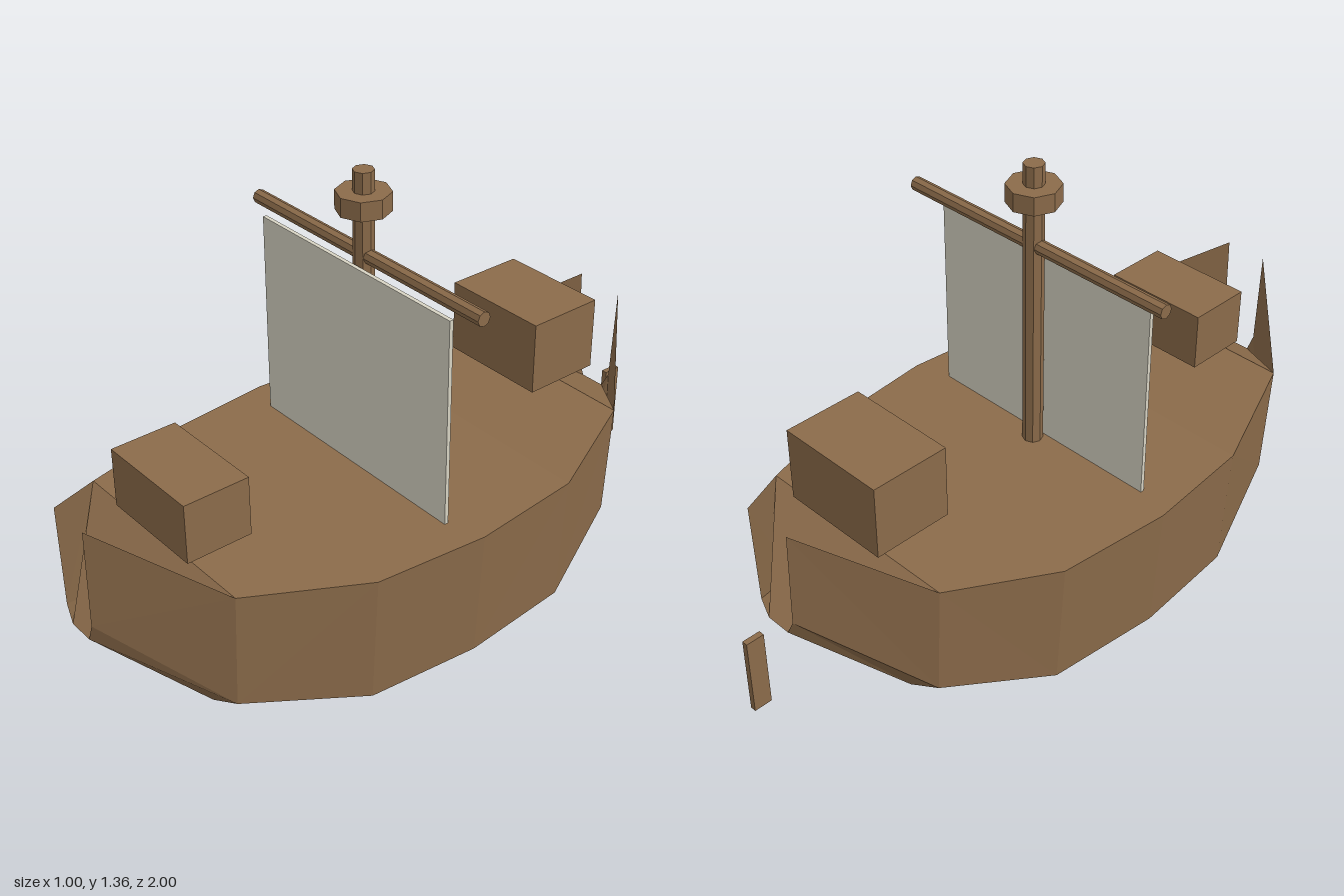
import * as THREE from 'three';

const wood = new THREE.MeshStandardMaterial({ color: 0x8b6b4a, flatShading: true });
const hullWood = new THREE.MeshStandardMaterial({ color: 0x8b6b4a, flatShading: true, side: THREE.DoubleSide });
const cloth = new THREE.MeshStandardMaterial({ color: 0xd8d4c4, flatShading: true });

// Hull stations, bow to stern: z, then half width and height of rail, chine and bottom
const stations = [
  [1.0, 0.067, 0.69, 0.06, 0.39, 0.04, 0.335],
  [0.74, 0.333, 0.515, 0.315, 0.155, 0.2, 0.09],
  [0.39, 0.467, 0.47, 0.443, 0.07, 0.28, 0],
  [0.05, 0.5, 0.47, 0.475, 0.07, 0.3, 0],
  [-0.3, 0.467, 0.47, 0.443, 0.07, 0.28, 0],
  [-0.62, 0.333, 0.515, 0.315, 0.16, 0.2, 0.09],
  [-0.89, 0.077, 0.71, 0.065, 0.41, 0.04, 0.36],
];

function hullGeometry() {
  const pos = [];
  const tri = (...pts) => pts.forEach((p) => pos.push(...p));
  // Ring runs from the left rail under the keel to the right rail
  const rings = stations.map(([z, tw, ty, cw, cy, bw, by]) => [
    [tw, ty, z], [cw, cy, z], [bw, by, z], [-bw, by, z], [-cw, cy, z], [-tw, ty, z],
  ]);
  const last = rings.length - 1;
  for (let i = 0; i < last; i++) {
    const a = rings[i], b = rings[i + 1];
    // Planking, with mirrored diagonals on the two sides
    for (let k = 0; k < 5; k++) {
      if (k < 3) {
        tri(a[k], a[k + 1], b[k]);
        tri(a[k + 1], b[k + 1], b[k]);
      } else {
        tri(a[k], a[k + 1], b[k + 1]);
        tri(a[k], b[k + 1], b[k]);
      }
    }
    // Deck, ramping down to the keel at the open bow and stern
    const [aL, aR] = i === 0 ? [a[2], a[3]] : [a[0], a[5]];
    const [bL, bR] = i === last - 1 ? [b[2], b[3]] : [b[0], b[5]];
    tri(aL, bL, aR);
    tri(bL, bR, aR);
  }
  const g = new THREE.BufferGeometry();
  g.setAttribute('position', new THREE.Float32BufferAttribute(pos, 3));
  g.computeVertexNormals();
  return g;
}

export function createModel() {
  const ship = new THREE.Group();
  ship.name = 'sailingShip';

  const add = (name, geometry, material, x, y, z) => {
    const m = new THREE.Mesh(geometry, material);
    m.name = name;
    m.position.set(x, y, z);
    ship.add(m);
    return m;
  };
  const box = (w, h, d) => new THREE.BoxGeometry(w, h, d);
  const rod = (r, h) => new THREE.CylinderGeometry(r, r, h, 8);

  add('hull', hullGeometry(), hullWood, 0, 0, 0);

  // Cabins and rudder
  add('bowCabin', box(0.334, 0.178, 0.2), wood, 0, 0.627, 0.668);
  add('sternCabin', box(0.344, 0.222, 0.242), wood, 0, 0.682, -0.561);
  add('rudder', box(0.018, 0.242, 0.055), wood, 0, 0.248, -0.972);

  // Mast, lookout, yard and sail
  add('mast', rod(0.03, 0.89), wood, 0, 0.915, 0.05);
  add('crowsNest', rod(0.077, 0.055), wood, 0, 1.272, 0.05);
  add('yard', rod(0.021, 0.934), wood, 0, 1.117, 0.05).rotation.z = Math.PI / 2;
  add('sail', box(0.78, 0.625, 0.012), cloth, 0, 0.782, 0.088);

  return ship;
}
